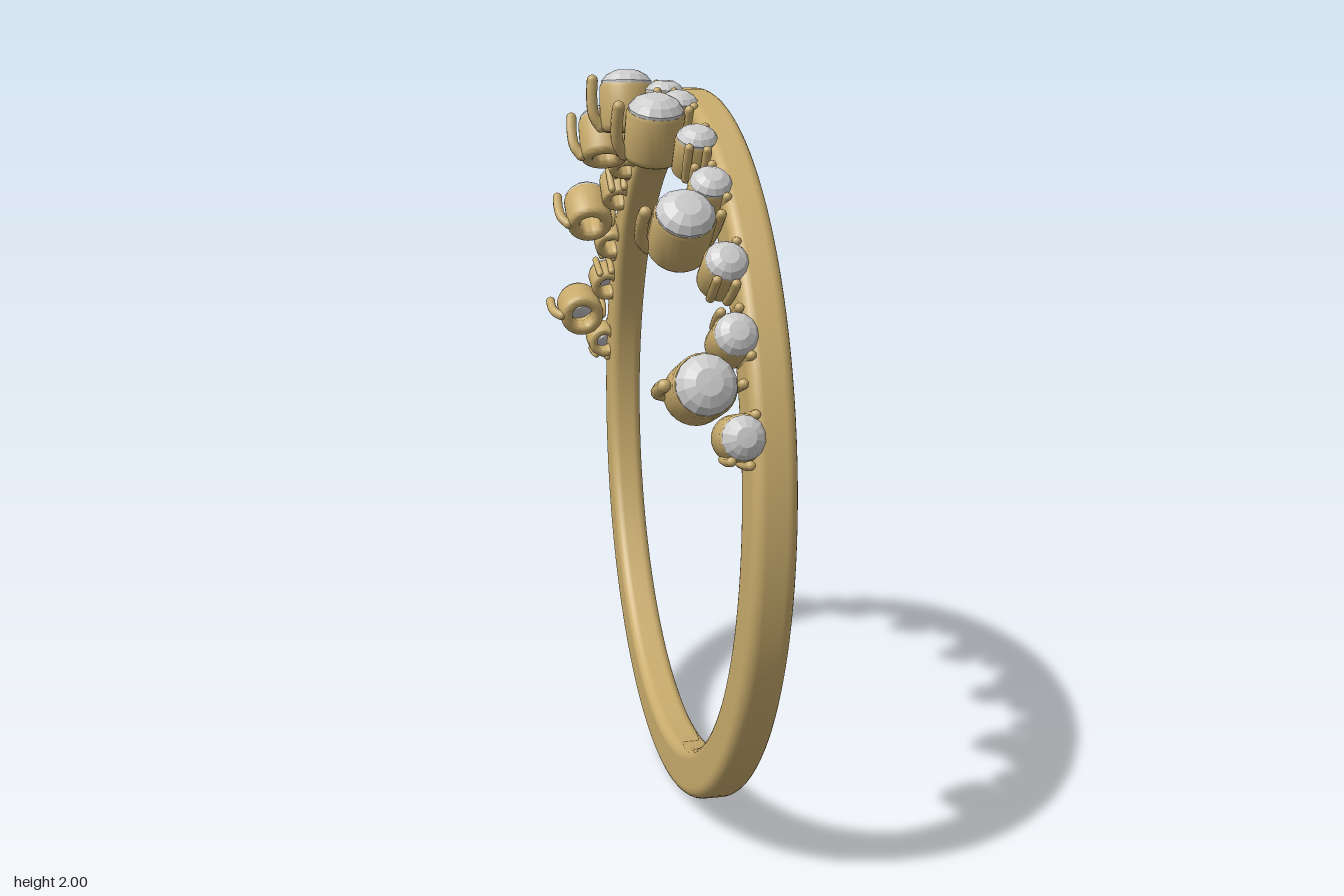
import * as THREE from 'three';
import { toCreasedNormals } from 'three/addons/utils/BufferGeometryUtils.js';

const CENTER_Y = 0.978;
const gold = new THREE.MeshStandardMaterial({ color: 0xc8ab6c });
const stone = new THREE.MeshStandardMaterial({ color: 0xcccccc, flatShading: true });
const rad = THREE.MathUtils.degToRad;
const v2 = (x, y) => new THREE.Vector2(x, y);

function add(parent, name, geometry, material) {
  const mesh = new THREE.Mesh(geometry, material);
  mesh.name = name;
  parent.add(mesh);
  return mesh;
}

// Round band: a rounded rectangular section turned about the x axis
function bandGeometry() {
  const rIn = 0.845, rOut = 0.976, x0 = 0.05, x1 = 0.153, c = 0.028, pts = [];
  const corners = [[rOut - c, x0 + c, -90], [rOut - c, x1 - c, 0], [rIn + c, x1 - c, 90], [rIn + c, x0 + c, 180]];
  for (const [r, x, start] of corners) {
    for (let i = 0; i <= 6; i++) {
      const a = rad(start + i * 15);
      pts.push(v2(r + c * Math.cos(a), x + c * Math.sin(a)));
    }
  }
  pts.push(pts[0].clone());
  return new THREE.LatheGeometry(pts, 128).rotateZ(-Math.PI / 2);
}

// Hollow cup with a rounded, open underside; y is the distance from the ring's axis
function cupGeometry(r, bottom, top) {
  const b = r * 0.27, pts = [];
  for (let i = 0; i <= 8; i++) {
    const a = rad(-180 + i * 22.5);
    pts.push(v2(r - b + b * Math.cos(a), bottom + b + b * Math.sin(a)));
  }
  pts.push(v2(r, top - 0.008), v2(r - 0.004, top), v2(r * 0.84, top), v2(r * 0.46, bottom + 0.045), pts[0].clone());
  return toCreasedNormals(new THREE.LatheGeometry(pts, 28), rad(40));
}

// Round faceted stone: pavilion, girdle, two crown tiers, low table
function gemGeometry(r, girdle, height) {
  const pts = [
    v2(0, girdle - r * 0.9), v2(r, girdle - 0.006), v2(r, girdle + 0.004),
    v2(r * 0.8, girdle + height * 0.6), v2(r * 0.45, girdle + height * 0.95), v2(0, girdle + height),
  ];
  return new THREE.LatheGeometry(pts, 14);
}

// Slim round-ended post following a short curve
function postGeometry(points, r) {
  const path = new THREE.CatmullRomCurve3(points.map((p) => new THREE.Vector3(...p)));
  return new THREE.TubeGeometry(path, 12, r, 10);
}

function addPost(parent, name, points, r) {
  const group = new THREE.Group();
  group.name = name;
  add(group, 'post', postGeometry(points, r), gold);
  for (const p of [points[0], points[points.length - 1]]) {
    add(group, 'roundedTip', new THREE.SphereGeometry(r, 12, 8), gold).position.set(...p);
  }
  parent.add(group);
}

// A pivot on the ring axis, turned so that local +y points outward at the angle
function pivot(parent, name, degrees, x) {
  const group = new THREE.Group();
  group.name = name;
  group.position.set(x, CENTER_Y, 0);
  group.rotation.x = rad(degrees);
  parent.add(group);
  return group;
}

export function createModel() {
  const model = new THREE.Group();
  model.name = 'ring';
  add(model, 'band', bandGeometry(), gold).position.y = CENTER_Y;

  const largeCup = cupGeometry(0.072, 0.857, 0.985);
  const largeGem = gemGeometry(0.068, 0.988, 0.034);
  const smallCup = cupGeometry(0.053, 0.872, 0.967);
  const smallGem = gemGeometry(0.05, 0.968, 0.028);

  for (let k = -3; k <= 3; k++) {
    const angle = k * 23.8;

    // Large stone with its outer claw
    const large = pivot(model, 'largeSetting', angle, -0.05);
    add(large, 'largeCup', largeCup, gold);
    add(large, 'largeStone', largeGem, stone);
    addPost(large, 'outerClaw', [[-0.092, 0.993, 0], [-0.094, 0.95, 0], [-0.088, 0.9, 0], [-0.07, 0.872, 0]], 0.015);
    addPost(large, 'innerClaw', [[0.082, 0.985, 0], [0.078, 0.93, 0], [0.068, 0.875, 0]], 0.012);

    // Pair of small stones beside the band
    for (const side of [-1, 1]) {
      const small = pivot(model, 'smallSetting', angle + side * 6.7, 0.031);
      add(small, 'smallCup', smallCup, gold);
      add(small, 'smallStone', smallGem, stone);
      for (const [x, z] of [[-0.03, 0.05], [0.012, 0.06], [0.028, -0.049]]) {
        const dz = side * z;
        addPost(small, 'smallClaw', [[x, 0.97, dz], [x, 0.93, dz], [x * 0.9, 0.885, dz * 0.9]], 0.011);
      }
    }
  }
  return model;
}
